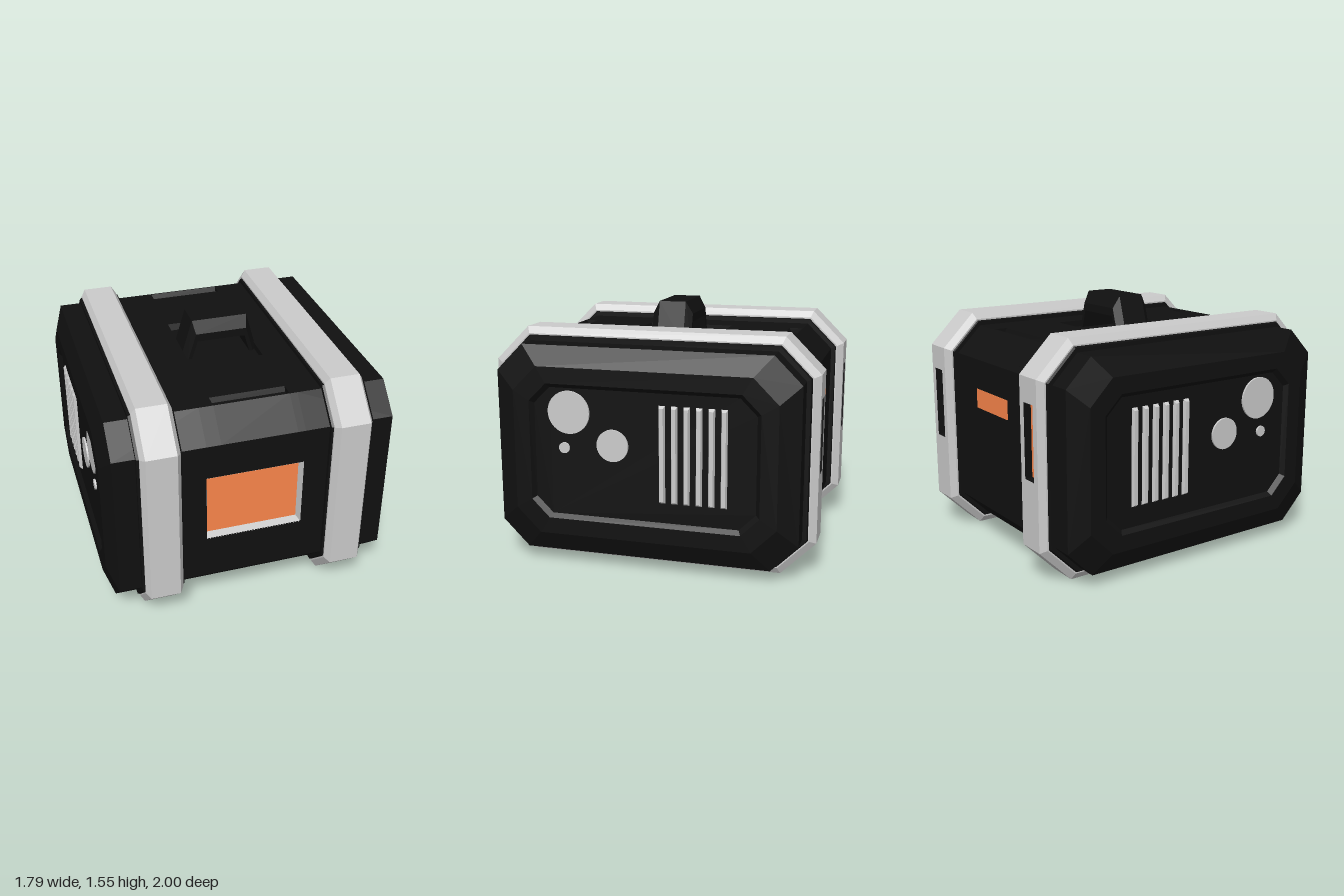
import * as THREE from 'three';

const V = (x, y, z) => new THREE.Vector3(x, y, z);
const mat = (color) => new THREE.MeshStandardMaterial({ color, flatShading: true, side: THREE.DoubleSide });
const black = mat(0x101010), grey = mat(0xcccccc), orange = mat(0xfc874b);
const TOP = 1.43;

function add(parent, name, geometry, material) {
  const mesh = new THREE.Mesh(geometry, material);
  mesh.name = name;
  parent.add(mesh);
  return mesh;
}

// Skin a row of equal-length loops; optionally cap the last, or leave faces out
function loft(loops, { cap = false, skip = () => false } = {}) {
  const pts = [];
  const n = loops[0].length;
  for (let k = 0; k < loops.length - 1; k++) {
    for (let j = 0; j < n; j++) {
      if (skip(k, j)) continue;
      const a = loops[k][j], b = loops[k][(j + 1) % n];
      const c = loops[k + 1][(j + 1) % n], d = loops[k + 1][j];
      pts.push(a, b, c, a, c, d);
    }
  }
  const last = loops[loops.length - 1];
  if (cap) for (let j = 1; j < n - 1; j++) pts.push(last[0], last[j], last[j + 1]);
  const g = new THREE.BufferGeometry().setFromPoints(pts);
  g.computeVertexNormals();
  return g;
}

// Case outline (chamfered rectangle) shrunk by an inset, at position x
function octagon(x, inset, c = 0.21 - inset * 0.586) {
  const h = 1 - inset, y0 = inset, y1 = TOP - inset;
  return [
    V(x, y0, h - c), V(x, y0, c - h), V(x, y0 + c, -h), V(x, y1 - c, -h),
    V(x, y1, c - h), V(x, y1, h - c), V(x, y1 - c, h), V(x, y0 + c, h),
  ];
}

const rectX = (x, y, z, hy, hz) => [
  V(x, y - hy, z + hz), V(x, y - hy, z - hz), V(x, y + hy, z - hz), V(x, y + hy, z + hz)];
const rectZ = (z, x, y, hx, hy) => [
  V(x - hx, y - hy, z), V(x + hx, y - hy, z), V(x + hx, y + hy, z), V(x - hx, y + hy, z)];

// Recessed window: four walls and a coloured floor
function window_(parent, name, x, y, hx, hy, zOut, zIn, slope, wallMaterial) {
  add(parent, name + 'Walls',
    loft([rectZ(zIn, x, y, hx - slope, hy - slope), rectZ(zOut, x, y, hx, hy)]), wallMaterial);
  const pane = add(parent, name + 'Pane', new THREE.PlaneGeometry(2 * (hx - slope), 2 * (hy - slope)), orange);
  pane.position.set(x, y, zIn);
  if (zOut < 0) pane.rotation.y = Math.PI;
}

// Slice of the middle of the case, notched for the screen and the lid recesses
function bodySlice(parent, x0, x1, lidNotches) {
  const p = [[-0.757, 0.08], [0.757, 0.08], [0.92, 0.243], [0.92, 1.187], [0.757, 1.35]];
  if (lidNotches) {
    for (const [a, b, depth] of [[0.75, 0.67, 0.03], [0.28, -0.28, 0.04], [-0.67, -0.75, 0.03]]) {
      p.push([a, 1.35], [a - 0.015, 1.35 - depth], [b + 0.015, 1.35 - depth], [b, 1.35]);
    }
  }
  p.push([-0.757, 1.35], [-0.92, 1.187], [-0.92, 0.97], [-0.86, 0.97], [-0.86, 0.525], [-0.92, 0.525], [-0.92, 0.243]);
  const shape = new THREE.Shape(p.map(([u, y]) => new THREE.Vector2(u, y)));
  const g = new THREE.ExtrudeGeometry(shape, { depth: x1 - x0, bevelEnabled: false });
  g.rotateY(Math.PI / 2).translate(x0, 0, 0);
  add(parent, 'bodyMiddle', g, black);
}

// Everything on one side of the case, built toward +x
function sideHalf() {
  const side = new THREE.Group();

  // Case end with bevelled edge and sunken panel
  add(side, 'bodyEnd', loft([
    octagon(0.297, 0.08), octagon(0.84, 0.08), octagon(0.895, 0.2, 0.15),
    octagon(0.895, 0.3, 0.11), octagon(0.87, 0.325, 0.1),
  ], { cap: true }), black);

  // Round dials
  for (const [z, y, r] of [[0.455, 0.96, 0.13], [0.185, 0.775, 0.097], [0.487, 0.742, 0.033]]) {
    const dial = add(side, 'dial', new THREE.CylinderGeometry(r, r, 0.02, 40), grey);
    dial.rotation.z = Math.PI / 2;
    dial.position.set(0.872, y, z);
  }

  // Vent slats
  for (let i = 0; i < 6; i++) {
    const z = -0.116 - i * 0.074;
    add(side, 'ventSlat', loft([
      rectX(0.865, 0.74, z, 0.297, 0.021), rectX(0.89, 0.74, z, 0.28, 0.012),
    ], { cap: true }), grey);
  }

  // Dark collar under the strap
  add(side, 'collar', loft([
    octagon(0.445, 0.1), octagon(0.445, 0.055), octagon(0.46, 0.048),
    octagon(0.69, 0.048), octagon(0.705, 0.055), octagon(0.705, 0.1),
  ]), black);

  // Strap, its rear facet left open for the slotted plate
  add(side, 'strap', loft([
    octagon(0.456, 0.08), octagon(0.456, 0.04), octagon(0.483, 0),
    octagon(0.665, 0), octagon(0.69, 0.04), octagon(0.69, 0.08),
  ], { skip: (k, j) => k === 2 && j === 2 }), grey);
  const rect = (C, x0, y0, x1, y1) => new C([[x0, y0], [x1, y0], [x1, y1], [x0, y1]]
    .map(([x, y]) => new THREE.Vector2(x, y)));
  const plate = rect(THREE.Shape, 0.483, 0.21, 0.665, TOP - 0.21);
  plate.holes.push(rect(THREE.Path, 0.525, 0.62, 0.623, 1.07));
  const plateGeometry = new THREE.ShapeGeometry(plate);
  plateGeometry.rotateY(Math.PI).translate(1.148, 0, -1);
  add(side, 'strapRearPlate', plateGeometry, grey);
  window_(side, 'strapLight', 0.574, 0.845, 0.049, 0.225, -1, -0.956, 0.004, black);
  return side;
}

export function createModel() {
  const model = new THREE.Group();
  model.name = 'carryCase';

  // Middle of the case
  bodySlice(model, -0.297, -0.21, false);
  bodySlice(model, -0.21, 0.25, true);
  bodySlice(model, 0.25, 0.297, false);

  // Mirrored sides
  for (const s of [1, -1]) {
    const side = sideHalf();
    side.name = s > 0 ? 'leftSide' : 'rightSide';
    side.scale.x = s;
    model.add(side);
  }

  // Front screen and rear light bar
  window_(model, 'screen', 0, 0.747, 0.297, 0.223, 0.921, 0.87, 0.014, grey);
  const bar = add(model, 'rearLightBar', new THREE.BoxGeometry(0.385, 0.12, 0.01), orange);
  bar.position.set(0, 0.94, -0.919);

  // Carry handle: bevelled section swept between an inner and an outer path
  const outer = [[-0.225, 1.3], [-0.15, 1.55], [0.2, 1.55], [0.27, 1.3]];
  const inner = [[-0.165, 1.3], [-0.125, 1.425], [0.178, 1.425], [0.215, 1.3]];
  const section = [[0, -0.128], [0.4, -0.128], [1, -0.085], [1, 0.085], [0.4, 0.128], [0, 0.128]];
  const handle = loft(outer.map(([ox, oy], i) => section.map(([t, z]) => V(
    THREE.MathUtils.lerp(inner[i][0], ox, t), THREE.MathUtils.lerp(inner[i][1], oy, t), z + 0.01,
  )).reverse()));
  add(model, 'handle', handle, black);

  return model;
}
